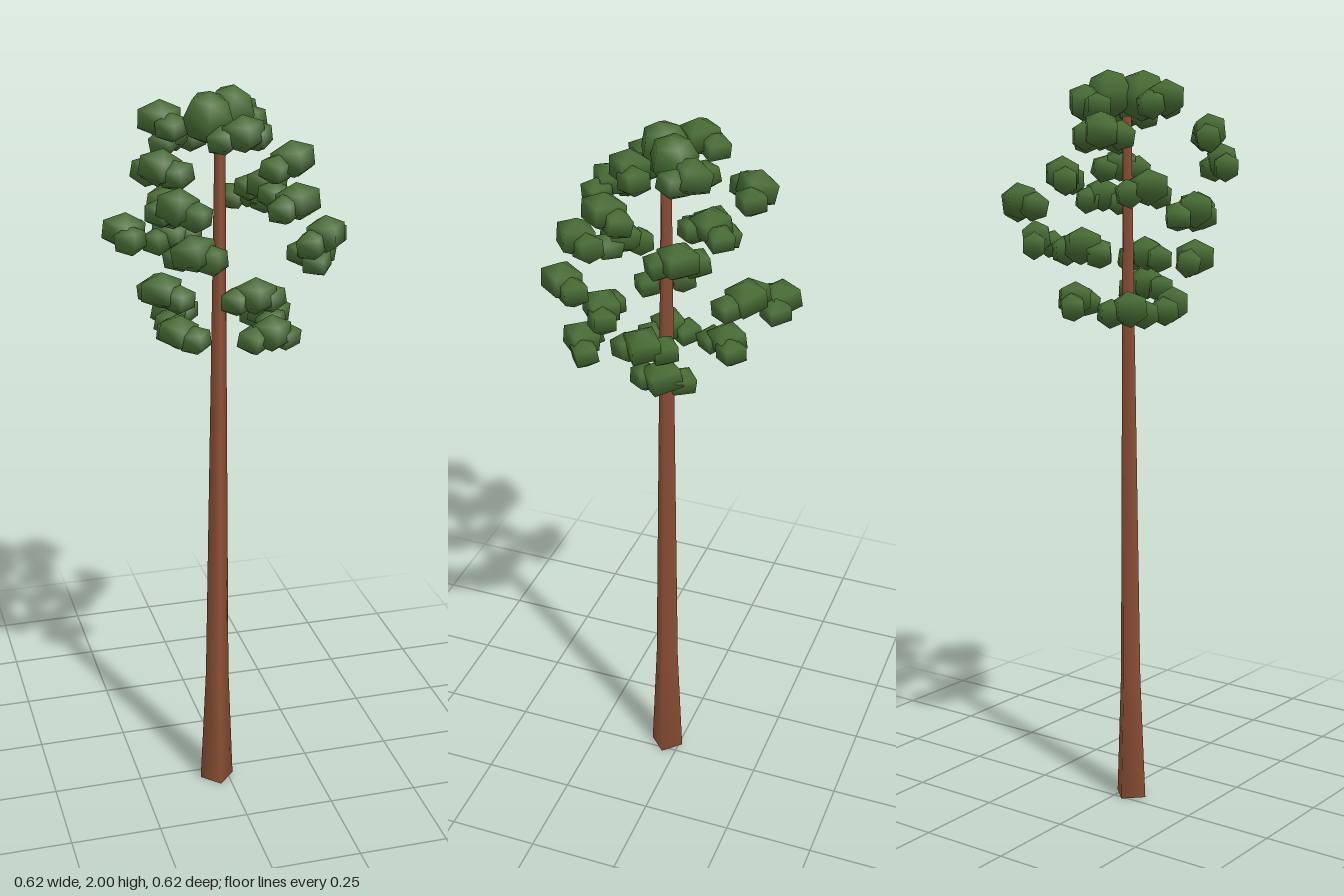
import * as THREE from 'three';

const bark = new THREE.MeshStandardMaterial({ color: 0x8f5136 });
bark.name = 'bark';
const leaf = new THREE.MeshStandardMaterial({ color: 0x486c34 });
leaf.name = 'leaf green';

// Repeatable small variation
let seed = 7;
const vary = (a) => {
  seed = (seed * 16807) % 2147483647;
  return (seed / 2147483647 * 2 - 1) * a;
};

const tuftGeometry = new THREE.SphereGeometry(1, 4, 3);
const crownGeometry = new THREE.SphereGeometry(1, 5, 4);

// One faceted tuft of foliage
function tuft(name, geometry, x, y, z, radius, height) {
  const mesh = new THREE.Mesh(geometry, leaf);
  mesh.name = name;
  mesh.position.set(x, y, z);
  mesh.scale.set(radius, height, radius);
  mesh.rotation.set(vary(0.2), vary(0.18), vary(0.2));
  return mesh;
}

// A main tuft with a smaller one on each side, set across the branch direction
function foliageCluster(x, y, z) {
  const cluster = new THREE.Group();
  cluster.name = 'foliageCluster';
  cluster.add(tuft('mainTuft', tuftGeometry, x, y, z, 0.062 + vary(0.004), 0.048));
  const angle = Math.atan2(z, x);
  for (const side of [-1, 1]) {
    const across = side * 0.045, inward = 0.015 + vary(0.01);
    cluster.add(tuft('sideTuft', tuftGeometry,
      x - across * Math.sin(angle) - inward * Math.cos(angle),
      y - 0.016 + vary(0.005),
      z + across * Math.cos(angle) - inward * Math.sin(angle),
      0.048, 0.039));
  }
  return cluster;
}

// Cluster centres, from the lowest whorl to the highest
const clusterCentres = [
  [-0.14, 1.39, 0.07], [-0.12, 1.39, -0.10], [0.125, 1.395, -0.01], [0.06, 1.425, 0.235],
  [0.03, 1.51, 0.19], [-0.19, 1.515, 0.10], [0.255, 1.555, -0.01], [-0.08, 1.56, -0.25],
  [-0.13, 1.635, 0.20], [-0.26, 1.645, -0.01], [0.135, 1.665, -0.23], [0.20, 1.665, 0.22],
  [-0.14, 1.70, -0.045], [0.13, 1.73, -0.055], [0.13, 1.75, 0.21], [-0.18, 1.765, 0.245],
  [0.14, 1.835, 0.13], [-0.20, 1.84, 0.15], [-0.09, 1.845, -0.18],
  [0.02, 1.90, 0.11], [0.05, 1.915, -0.06], [-0.165, 1.925, -0.005],
];

export function createModel() {
  const tree = new THREE.Group();
  tree.name = 'tallTree';

  // Four-sided tapered trunk with a flared foot, leaning slightly
  const profile = [[0, 0], [0.048, 0], [0.033, 0.35], [0.021, 1.3], [0.014, 1.88], [0, 1.88]];
  const trunkGeometry = new THREE.LatheGeometry(profile.map(([r, y]) => new THREE.Vector2(r, y)), 4);
  const p = trunkGeometry.attributes.position;
  for (let i = 0; i < p.count; i++) {
    const y = p.getY(i);
    p.setX(i, p.getX(i) - 0.032 + 0.007 * y);
    p.setZ(i, p.getZ(i) + 0.038 - 0.004 * y);
  }
  const trunk = new THREE.Mesh(trunkGeometry, bark);
  trunk.name = 'trunk';
  tree.add(trunk);

  // Foliage scattered round the upper trunk
  for (const centre of clusterCentres) tree.add(foliageCluster(...centre));

  // Rounder tufts at the very top
  tree.add(tuft('crownTuft', crownGeometry, -0.055, 1.932, 0.05, 0.066, 0.067));
  tree.add(tuft('crownTuft', crownGeometry, 0.015, 1.936, 0, 0.064, 0.064));
  return tree;
}
